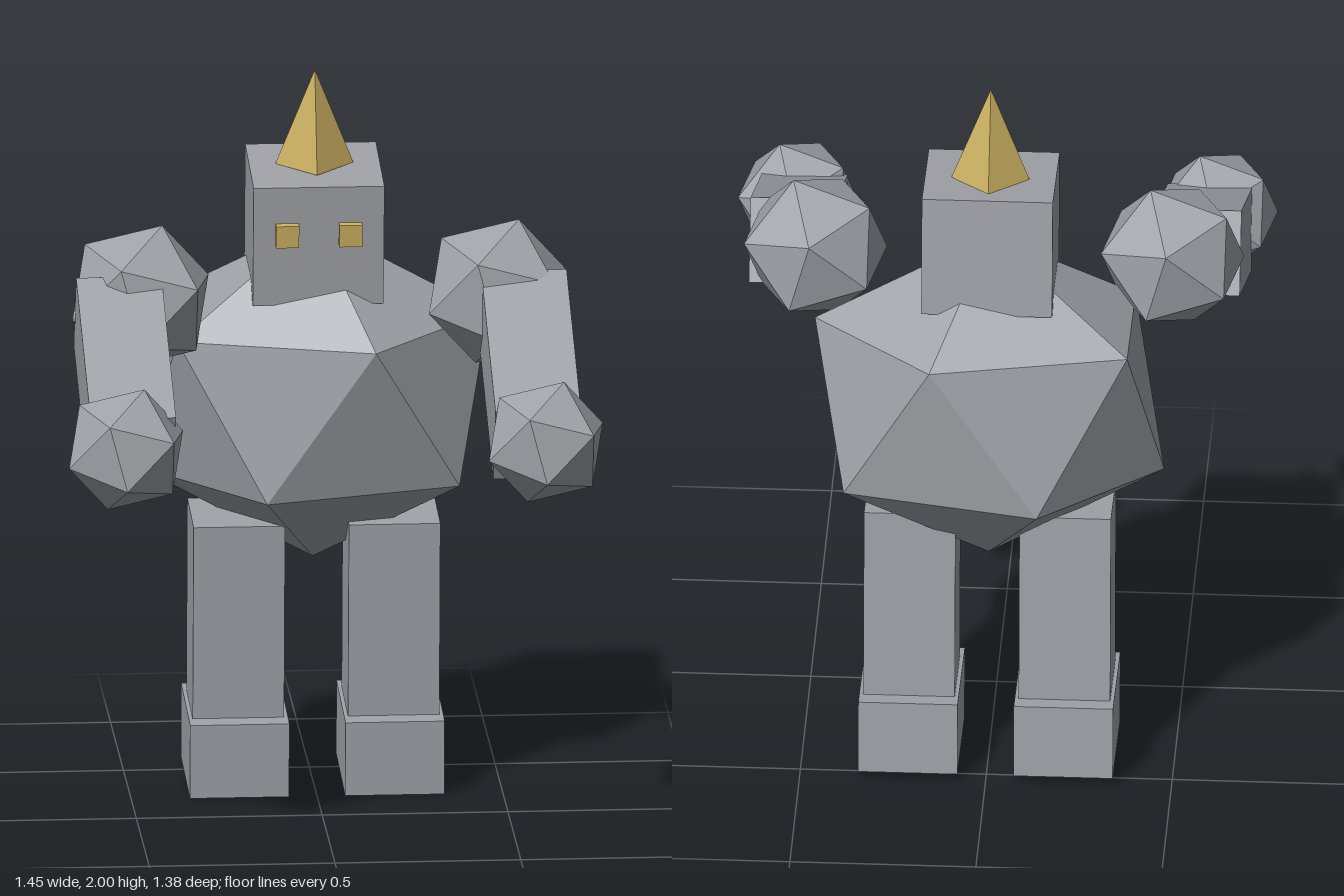
import * as THREE from 'three';

const LEAN = THREE.MathUtils.degToRad(4);

export function createModel() {
  const model = new THREE.Group();
  model.name = 'stoneGolem';

  const stone = new THREE.MeshStandardMaterial({ color: 0xa0a2a8 });
  stone.name = 'stone grey';
  const gold = new THREE.MeshStandardMaterial({ color: 0xcbb061 });
  gold.name = 'gold';

  function add(name, geometry, material, x, y, z, tilt = 0) {
    const mesh = new THREE.Mesh(geometry, material);
    mesh.name = name;
    mesh.position.set(x, y, z);
    mesh.rotation.x = tilt;
    model.add(mesh);
    return mesh;
  }

  // Icosahedron standing on one of its points
  function boulder(radius) {
    const g = new THREE.IcosahedronGeometry(radius, 0);
    return g.rotateZ(-Math.atan(2 / (1 + Math.sqrt(5))));
  }

  // Boulder turned and tipped, shared by shoulders and hands
  function tippedBoulder(radius) {
    return boulder(radius)
      .rotateY(THREE.MathUtils.degToRad(24))
      .rotateZ(THREE.MathUtils.degToRad(-16.5));
  }

  // Torso
  add('torso', boulder(1).scale(0.526, 0.473, 0.391), stone, 0, 1.094, -0.344, LEAN);

  // Head with its four-sided horn
  add('head', new THREE.BoxGeometry(0.352, 0.337, 0.335), stone, 0, 1.565, -0.303, LEAN * 1.5);
  const spike = new THREE.ConeGeometry(0.105, 0.265, 4).toNonIndexed();
  spike.computeVertexNormals();
  add('horn', spike, gold, 0, 1.867, -0.292, LEAN);

  // Paired parts: the boulders are repeated, not mirrored
  for (const [side, s] of [['left', 1], ['right', -1]]) {
    add(side + 'Eye', new THREE.BoxGeometry(0.062, 0.062, 0.06), gold, s * 0.085, 1.583, -0.14, LEAN * 1.5);
    add(side + 'Shoulder', tippedBoulder(0.207), stone, s * 0.48, 1.415, -0.132);
    add(side + 'Arm', new THREE.BoxGeometry(0.23, 0.23, 0.61), stone, s * 0.545, 1.272, 0.203,
      THREE.MathUtils.degToRad(23.5));
    add(side + 'Hand', tippedBoulder(0.173), stone, s * 0.565, 1.172, 0.537);
    add(side + 'Leg', new THREE.BoxGeometry(0.246, 0.59, 0.247), stone, s * 0.209, 0.468, -0.343, LEAN);
    add(side + 'Foot', new THREE.BoxGeometry(0.267, 0.207, 0.353), stone, s * 0.209, 0.118, -0.364, LEAN);
  }

  return model;
}
